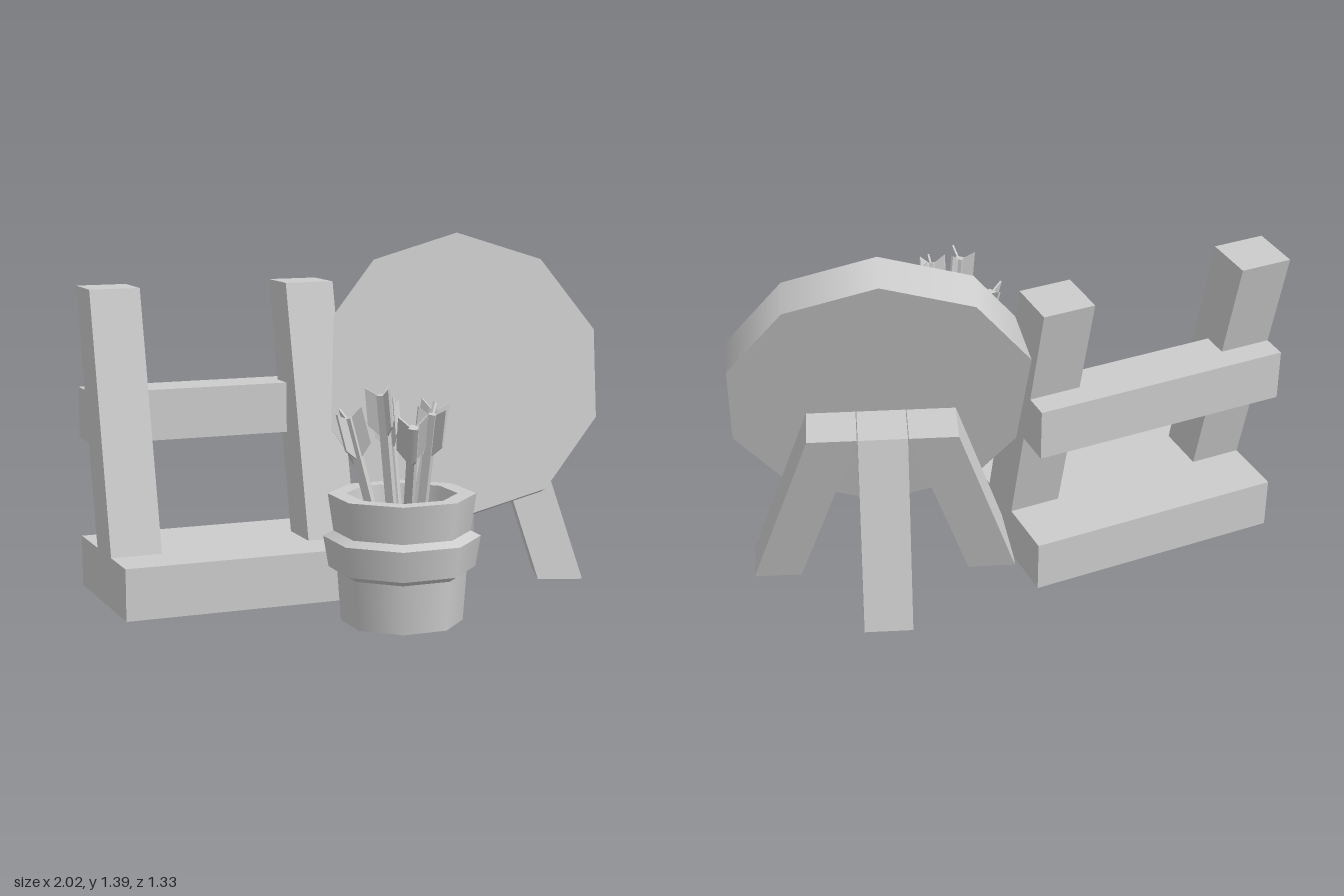
import * as THREE from 'three';
import { mergeGeometries } from 'three/addons/utils/BufferGeometryUtils.js';

const grey = new THREE.MeshStandardMaterial({ color: 0xcccccc });
grey.name = 'plain grey';

function add(parent, name, geometry) {
  const mesh = new THREE.Mesh(geometry, grey);
  mesh.name = name;
  parent.add(mesh);
  return mesh;
}

function box(x0, x1, y0, y1, z0, z1) {
  return new THREE.BoxGeometry(x1 - x0, y1 - y0, z1 - z0)
    .translate((x0 + x1) / 2, (y0 + y1) / 2, (z0 + z1) / 2);
}

// Leaning post with level ends: foot and top are [x, y, z] centres
function slantedBox(width, depth, foot, top) {
  const g = new THREE.BoxGeometry(width, 1, depth);
  const p = g.attributes.position;
  for (let i = 0; i < p.count; i++) {
    const end = p.getY(i) > 0 ? top : foot;
    p.setXYZ(i, p.getX(i) + end[0], end[1], p.getZ(i) + end[2]);
  }
  g.computeVertexNormals();
  return g;
}

// Rack: heavy base, two leaning posts and a rail
function makeRack() {
  const rack = new THREE.Group();
  rack.name = 'rack';
  add(rack, 'rackBase', box(-1, 0, 0, 0.2, -0.62, 0.02));
  for (const x of [-0.9, -0.1]) {
    add(rack, 'rackPost', slantedBox(0.2, 0.2, [x, 0.2, -0.28], [x, 1.2, -0.52]));
  }
  add(rack, 'rackRail', box(-1, 0, 0.6, 0.8, -0.62, -0.42));
  return rack;
}

// Round target leaning on a three-legged stand
function makeTarget() {
  const target = new THREE.Group();
  target.name = 'target';
  target.position.set(0.455, 0, -0.195);
  target.rotation.y = THREE.MathUtils.degToRad(-20);

  const thick = 0.155;
  const disc = add(target, 'targetDisc',
    new THREE.CylinderGeometry(0.575, 0.575, thick, 10)
      .rotateX(Math.PI / 2).translate(0, 0, -thick / 2));
  disc.position.set(0, 0.835, 0.039);
  disc.rotation.x = THREE.MathUtils.degToRad(-15);

  for (const side of [-1, 1]) {
    add(target, 'frontLeg',
      slantedBox(0.18, 0.19, [side * 0.41, 0, 0], [side * 0.183, 0.74, -0.19]));
  }
  add(target, 'backLeg', slantedBox(0.18, 0.19, [0, 0, -0.36], [0, 0.74, -0.19]));
  return target;
}

// Eight-sided pot: each profile band is its own lathe, so band edges stay sharp
function makePot() {
  const profile = [
    [0, 0], [0.21, 0], [0.222, 0.185], [0.252, 0.205], [0.27, 0.32],
    [0.235, 0.34], [0.254, 0.48], [0.19, 0.48], [0.14, 0.06], [0, 0.06],
  ].map(([r, y]) => new THREE.Vector2(r / Math.cos(Math.PI / 8), y));
  const bands = [];
  for (let i = 0; i < profile.length - 1; i++) {
    bands.push(new THREE.LatheGeometry([profile[i], profile[i + 1]], 8, Math.PI / 8));
  }
  return mergeGeometries(bands);
}

// Arrow standing on its point, with three vanes at the top
function makeArrow(foot, top, turn) {
  const a = new THREE.Vector3(...foot);
  const dir = new THREE.Vector3(...top).sub(a);
  const length = dir.length();
  const arrow = new THREE.Group();
  arrow.name = 'arrow';
  add(arrow, 'arrowShaft', new THREE.CylinderGeometry(0.022, 0.022, length - 0.02, 4)
    .toNonIndexed().translate(0, (length - 0.02) / 2, 0)).geometry.computeVertexNormals();

  const outline = [[0, -0.19], [0.06, -0.13], [0.06, 0.01], [0, -0.03]];
  const shape = new THREE.Shape(outline.map(([x, y]) => new THREE.Vector2(x, y + length)));
  const vane = new THREE.ExtrudeGeometry(shape, { depth: 0.008, bevelEnabled: false })
    .translate(0, 0, -0.004);
  for (let i = 0; i < 3; i++) {
    add(arrow, 'arrowVane', vane).rotation.y = turn + i * Math.PI * 2 / 3;
  }
  arrow.position.copy(a);
  arrow.quaternion.setFromUnitVectors(new THREE.Vector3(0, 1, 0), dir.normalize());
  return arrow;
}

export function createModel() {
  const model = new THREE.Group();
  model.name = 'archeryRange';
  model.add(makeRack(), makeTarget());

  const quiver = new THREE.Group();
  quiver.name = 'potOfArrows';
  add(quiver, 'pot', makePot()).position.set(-0.043, 0, 0.383);
  const arrows = [
    [[0, 0.07, 0.3], [-0.1, 0.78, 0.62], 0.3],
    [[-0.02, 0.07, 0.42], [0.02, 0.81, 0.52], 1.0],
    [[-0.06, 0.07, 0.4], [-0.15, 0.88, 0.44], 0.6],
    [[-0.03, 0.07, 0.35], [0.11, 0.8, 0.335], 0],
    [[-0.05, 0.07, 0.33], [-0.23, 0.78, 0.3], 1.6],
    [[-0.03, 0.07, 0.37], [-0.01, 0.79, 0.175], 0.5],
  ];
  for (const a of arrows) quiver.add(makeArrow(...a));
  model.add(quiver);
  return model;
}
